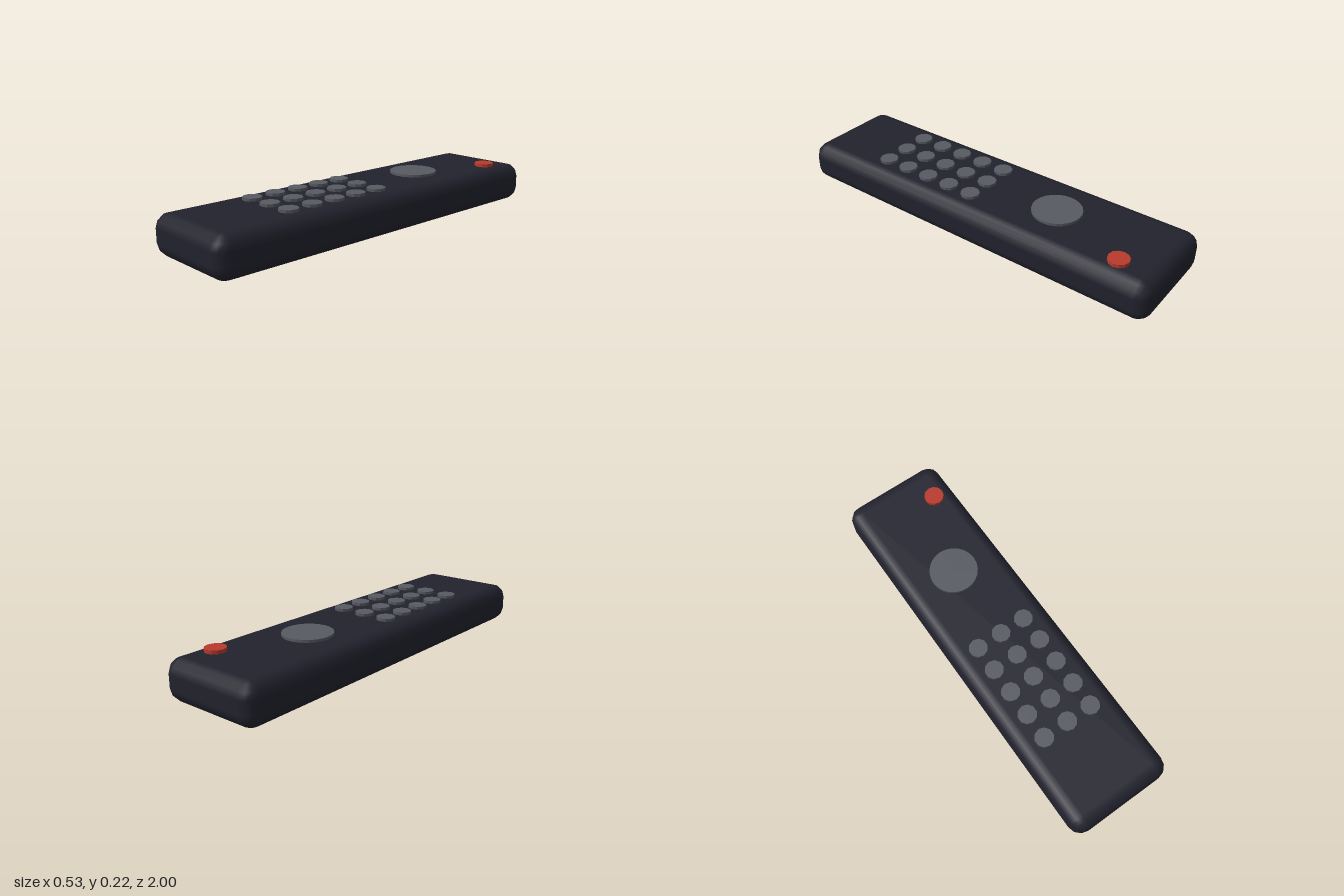
import * as THREE from 'three';

const shell = new THREE.MeshStandardMaterial({ color: 0x22222e });
const keyGrey = new THREE.MeshStandardMaterial({ color: 0x575a62 });
const powerRed = new THREE.MeshStandardMaterial({ color: 0xb83a2c });

// Box with rounded edges: rings of four corner arcs stacked by latitude
function roundedBody(hx, hy, hz, r, seg) {
  const pos = [], nor = [], idx = [];
  const perRing = 4 * (seg + 1);
  const lats = [];
  for (const base of [-90, 0]) for (let i = 0; i <= seg; i++) lats.push(base + (90 * i) / seg);
  lats.forEach((deg, row) => {
    const lat = THREE.MathUtils.degToRad(deg);
    const sy = row <= seg ? -1 : 1;
    for (let q = 0; q < 4; q++) {
      const sx = q === 0 || q === 3 ? 1 : -1;
      const sz = q < 2 ? 1 : -1;
      for (let i = 0; i <= seg; i++) {
        const a = (q + i / seg) * Math.PI / 2;
        const n = [Math.cos(lat) * Math.cos(a), Math.sin(lat), Math.cos(lat) * Math.sin(a)];
        pos.push(sx * (hx - r) + n[0] * r, sy * (hy - r) + n[1] * r, sz * (hz - r) + n[2] * r);
        nor.push(...n);
      }
    }
  });
  for (let row = 0; row < lats.length - 1; row++) {
    for (let i = 0; i < perRing; i++) {
      const j = (i + 1) % perRing;
      const a = row * perRing + i, b = row * perRing + j;
      idx.push(a, a + perRing, b, b, a + perRing, b + perRing);
    }
  }
  // Flat bottom and top
  const c = seg + 1, t = (lats.length - 1) * perRing;
  idx.push(0, c, 2 * c, 0, 2 * c, 3 * c);
  idx.push(t, t + 2 * c, t + c, t, t + 3 * c, t + 2 * c);
  const geo = new THREE.BufferGeometry();
  geo.setAttribute('position', new THREE.Float32BufferAttribute(pos, 3));
  geo.setAttribute('normal', new THREE.Float32BufferAttribute(nor, 3));
  geo.setIndex(idx);
  return geo;
}

// Faceted disc rising from the top face
function disc(name, r, top, sides, material, x, z) {
  const bottom = 0.19;
  const geo = new THREE.CylinderGeometry(r, r, top - bottom, sides).toNonIndexed();
  geo.computeVertexNormals();
  const mesh = new THREE.Mesh(geo, material);
  mesh.name = name;
  mesh.position.set(x, (top + bottom) / 2, z);
  return mesh;
}

export function createModel() {
  const model = new THREE.Group();
  model.name = 'remoteControl';

  const body = new THREE.Mesh(roundedBody(0.267, 0.1, 1, 0.067, 3), shell);
  body.name = 'body';
  body.position.y = 0.1;
  model.add(body);

  model.add(disc('powerButton', 0.05, 0.217, 12, powerRed, 0.154, -0.8));
  model.add(disc('navigationPad', 0.121, 0.213, 24, keyGrey, 0, -0.39));

  // Keypad: five rows of three
  const keypad = new THREE.Group();
  keypad.name = 'keypad';
  for (let row = 0; row < 5; row++) {
    for (let col = -1; col <= 1; col++) {
      keypad.add(disc('key', 0.0467, 0.214, 10, keyGrey, col * 0.1333, 0.02 + row * 0.1333));
    }
  }
  model.add(keypad);
  return model;
}
